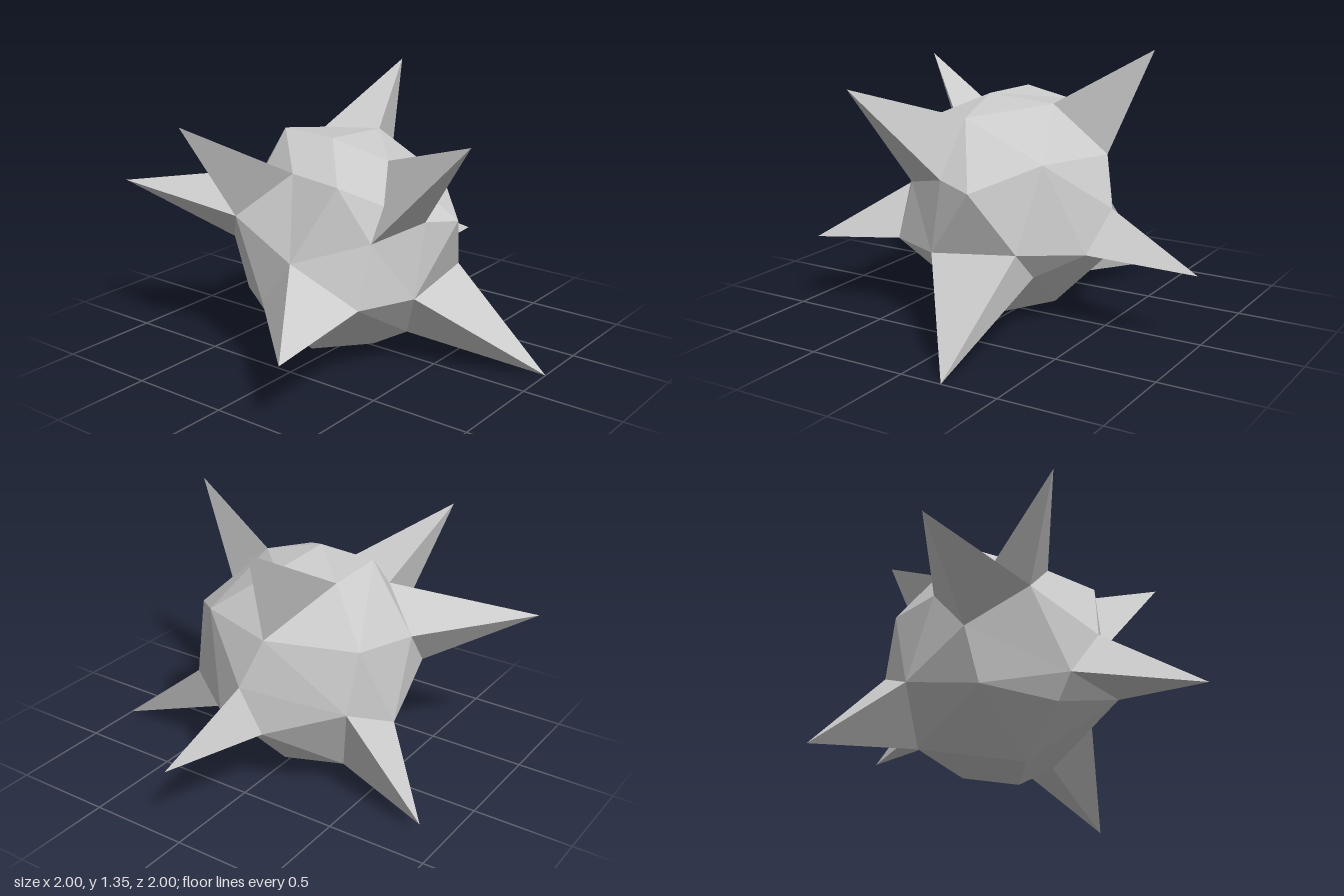
import * as THREE from 'three';
import { ConvexGeometry } from 'three/addons/geometries/ConvexGeometry.js';

// Corners of the faceted core, by region
const CORE = {
  top: [0, 1.1, 0.16], topLeft: [0.295, 1.025, 0.115], topRight: [-0.32, 1.1, 0.13],
  topBack: [0.01, 1.08, -0.205], topBackRight: [-0.28, 1.06, -0.13],
  browRight: [-0.045, 0.97, 0.405], browLeft: [0.25, 0.96, 0.445], templeRight: [-0.32, 0.925, 0.29],
  cheekRight: [-0.3, 0.745, 0.53], cheekLeft: [0.385, 0.7, 0.37], nose: [0.09, 0.605, 0.595],
  sideLeftA: [0.51, 0.765, 0.115], sideLeftB: [0.57, 0.735, -0.075], sideLeftC: [0.5, 0.4, 0.18],
  sideLeftD: [0.46, 0.445, -0.265], sideLeftE: [0.29, 0.29, -0.26],
  sideRightA: [-0.51, 0.545, 0.317], sideRightB: [-0.54, 0.75, 0.14], sideRightC: [-0.555, 0.36, -0.025],
  sideRightD: [-0.47, 0.79, -0.22], sideRightE: [-0.455, 0.49, -0.3],
  chinLeft: [0.38, 0.4, 0.46], chinRight: [-0.095, 0.365, 0.58], chinLow: [-0.1, 0.24, 0.505],
  jawRight: [-0.42, 0.29, 0.32], jawLeft: [0.36, 0.15, 0.035],
  backLeft: [0.32, 0.85, -0.325], backHigh: [-0.09, 0.84, -0.45], backMid: [0, 0.6, -0.525],
  backLowLeft: [0.16, 0.4, -0.47], backLowRight: [-0.1, 0.36, -0.485],
  footFront: [-0.06, 0.025, 0.26], footLeft: [0.14, 0.02, 0.015],
  footRight: [-0.355, 0.12, -0.16], footBack: [-0.03, 0.065, -0.2],
};

// Each spike: name, tip and the core corners it grows from
const SPIKES = [
  ['topBackSpike', [-0.165, 1.35, -0.65], ['topBack', 'topBackRight', 'backHigh']],
  ['upperRightSpike', [-0.4, 1.21, 0.78], ['browRight', 'cheekRight', 'templeRight']],
  ['upperLeftSpike', [0.885, 1.225, 0.345], ['topLeft', 'cheekLeft', 'sideLeftA']],
  ['rightSpike', [-1, 0.815, 0.58], ['cheekRight', 'templeRight', 'sideRightA', 'sideRightB']],
  ['lowerRightSpike', [-0.875, 0.055, -0.313], ['sideRightC', 'sideRightE', 'footRight']],
  ['lowerLeftSpike', [1, 0.003, -0.213], ['sideLeftC', 'sideLeftD', 'sideLeftE', 'jawLeft']],
  ['frontSpike', [0.365, 0.322, 1], ['nose', 'chinLeft', 'chinRight']],
  ['backSpike', [0.065, 0.36, -1], ['backMid', 'backLowLeft', 'backLowRight']],
];

const CENTRE = new THREE.Vector3(0, 0.56, 0);
const vec = (p) => new THREE.Vector3(...p);

// Joins the corners by their directions from the centre, then restores their true distances
function coreGeometry() {
  const corners = Object.values(CORE).map(vec);
  const directions = corners.map((c) => c.clone().sub(CENTRE).normalize());
  const geometry = new ConvexGeometry(directions);
  const position = geometry.attributes.position;
  const p = new THREE.Vector3();
  for (let i = 0; i < position.count; i++) {
    p.fromBufferAttribute(position, i);
    let best = 0;
    directions.forEach((d, k) => {
      if (d.distanceToSquared(p) < directions[best].distanceToSquared(p)) best = k;
    });
    position.setXYZ(i, ...corners[best].toArray());
  }
  geometry.computeVertexNormals();
  return geometry;
}

export function createModel() {
  const group = new THREE.Group();
  group.name = 'spikyBall';
  const material = new THREE.MeshStandardMaterial({ color: 0xcccccc, flatShading: true });

  const add = (name, geometry) => {
    const mesh = new THREE.Mesh(geometry, material);
    mesh.name = name;
    group.add(mesh);
  };

  // Faceted core
  add('core', coreGeometry());

  // Pointed spikes
  for (const [name, tip, base] of SPIKES) {
    add(name, new ConvexGeometry([vec(tip), ...base.map((key) => vec(CORE[key]))]));
  }
  return group;
}
